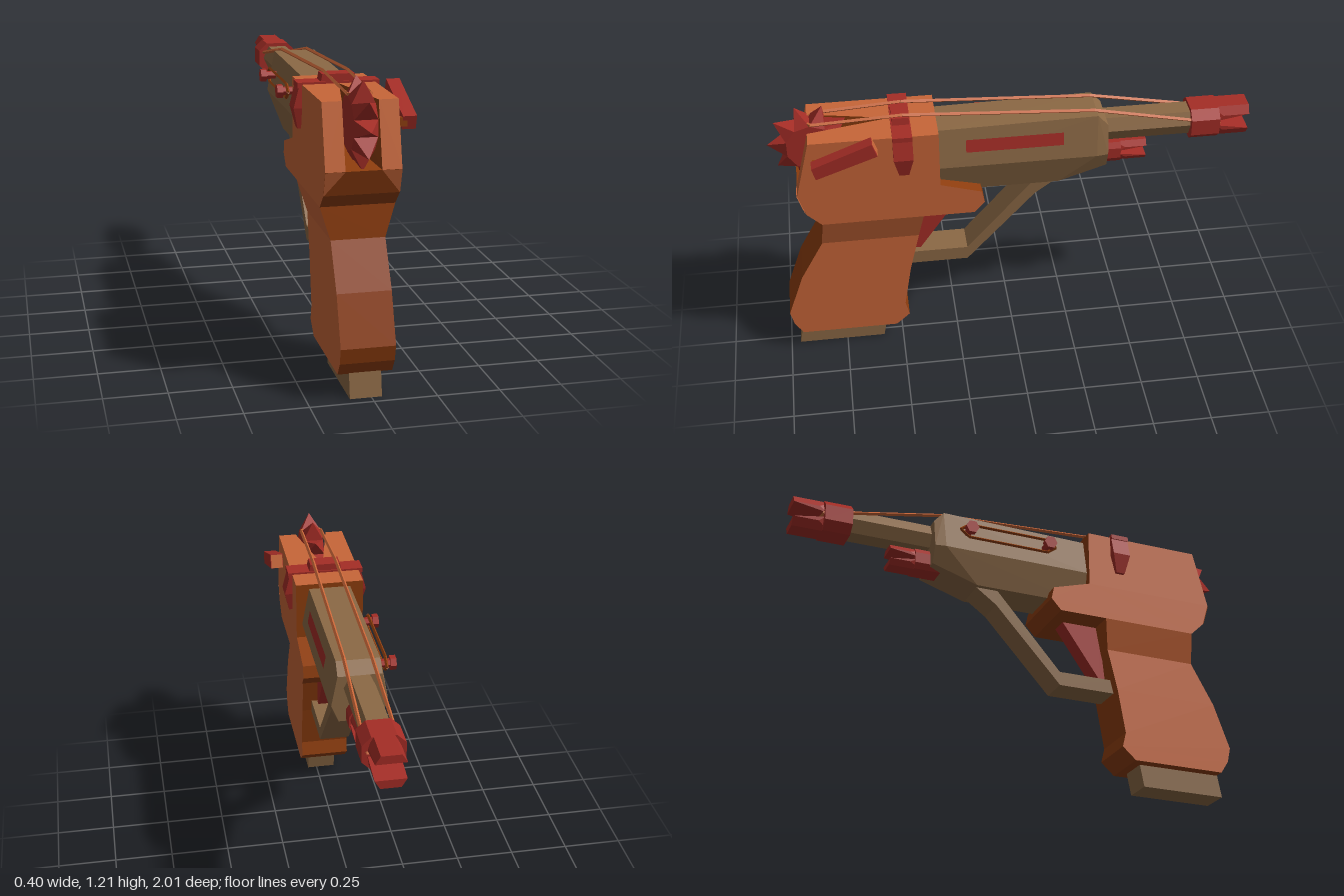
import * as THREE from 'three';
import { ConvexGeometry } from 'three/addons/geometries/ConvexGeometry.js';

export function createModel() {
  const mat = (name, color) => {
    const m = new THREE.MeshStandardMaterial({ color, side: THREE.DoubleSide });
    m.name = name;
    return m;
  };
  const orange = mat('orange', 0xc86638);
  const brown = mat('brown', 0x8f3e0e);
  const red = mat('red', 0xa52d26);
  const tan = mat('tan', 0x8c6945);

  const model = new THREE.Group();
  model.name = 'toyPistol';
  const body = new THREE.Group();
  body.name = 'body';
  body.position.x = -0.022;
  model.add(body);

  const add = (name, geo, material) => {
    const mesh = new THREE.Mesh(geo, material);
    mesh.name = name;
    body.add(mesh);
    return mesh;
  };
  // Convex solid from [halfWidth, y, z] points mirrored in x
  const hull = (name, material, pts) => add(name, new ConvexGeometry(
    pts.flatMap(([h, y, z]) => [new THREE.Vector3(h, y, z), new THREE.Vector3(-h, y, z)])), material);
  // Constant section of [halfWidth, y] points running from z0 to z1
  const prism = (name, material, sec, z0, z1) =>
    hull(name, material, sec.flatMap(([h, y]) => [[h, y, z0], [h, y, z1]]));
  // Side profile of [z, y] points with thickness across x
  const slab = (name, material, pts, half) => {
    const shape = new THREE.Shape(pts.map(([z, y]) => new THREE.Vector2(z, y)));
    const geo = new THREE.ExtrudeGeometry(shape, { depth: half * 2, bevelEnabled: false });
    return add(name, geo.rotateY(-Math.PI / 2).translate(half, 0, 0), material);
  };
  // Flat convex polygons
  const faces = (name, material, polys) => {
    const v = [];
    for (const p of polys)
      for (let i = 1; i < p.length - 1; i++) v.push(...p[0], ...p[i], ...p[i + 1]);
    const geo = new THREE.BufferGeometry();
    geo.setAttribute('position', new THREE.Float32BufferAttribute(v, 3));
    geo.computeVertexNormals();
    return add(name, geo, material);
  };
  // Thin four-sided cord through points
  const cord = (name, material, pts, r, closed = false) => {
    const n = closed ? pts.length : pts.length - 1;
    for (let i = 0; i < n; i++) {
      const a = new THREE.Vector3(...pts[i]), b = new THREE.Vector3(...pts[(i + 1) % pts.length]);
      const d = b.clone().sub(a);
      const geo = new THREE.CylinderGeometry(r, r, d.length(), 4).toNonIndexed();
      geo.computeVertexNormals();
      const m = add(name, geo, material);
      m.position.copy(a).add(b).multiplyScalar(0.5);
      m.quaternion.setFromUnitVectors(new THREE.Vector3(0, 1, 0), d.normalize());
    }
  };

  // Grip: rows of y, rear z, front z, half width
  const rows = [[0.72, 0.81, 0.388, 0.147], [0.59, 0.82, 0.41, 0.107], [0.41, 0.92, 0.452, 0.107],
    [0.214, 0.99, 0.484, 0.107], [0.15, 0.975, 0.468, 0.107], [0.096, 0.94, 0.527, 0.107]];
  const gripSides = [], gripEdges = [];
  for (let i = 0; i < rows.length - 1; i++) {
    const [y, b, f, h] = rows[i], [Y, B, F, H] = rows[i + 1];
    for (const s of [1, -1])
      gripSides.push([[s * h, y, b], [s * H, Y, B], [s * H, Y, F], [s * h, y, f]]);
    for (const [z, Z] of [[b, B], [f, F]])
      gripEdges.push([[-h, y, z], [h, y, z], [H, Y, Z], [-H, Y, Z]]);
  }
  gripEdges.push([[-0.107, 0.096, 0.94], [0.107, 0.096, 0.94], [0.107, 0.096, 0.527], [-0.107, 0.096, 0.527]]);
  faces('gripSides', orange, gripSides);
  faces('gripEdges', brown, gripEdges);
  slab('magazine', tan, [[0.94, 0.11], [0.96, 0], [0.585, 0], [0.565, 0.11]], 0.063);

  // Frame below the rear slot
  slab('frame', [orange, brown], [[0.9, 0.875], [0.87, 0.778], [0.81, 0.72], [0.174, 0.72],
    [0.13, 0.77], [0.142, 0.824], [0.313, 0.875]], 0.147);

  // Receiver with a wedge-shaped rear slot
  const H = 0.147, N = 0.07, T = 1.128, L = 0.875, F = 0.313;
  const shell = [], slot = [];
  for (const s of [1, -1]) {
    const h = s * H, n = s * N;
    shell.push(
      [[h, L, 0.9], [h, L, F], [h, T, F], [h, T, 0.837]],
      [[h, L, 0.9], [n, L, 0.9], [n, T, 0.837], [h, T, 0.837]],
      [[h, T, F], [h, T, 0.837], [n, T, 0.837], [0, T, 0.5], [0, T, F]],
      [[h, L, 0.903], [n, L, 0.903], [h, 0.778, 0.873]]);
    slot.push([[n, L, 0.9], [0, 0.93, 0.5], [0, T, 0.5], [n, T, 0.837]]);
  }
  slot.push([[-N, L, 0.9], [N, L, 0.9], [0, 0.93, 0.5]],
    [[-H, L, F], [H, L, F], [H, T, F], [-H, T, F]]);
  faces('receiver', orange, shell);
  faces('receiverSlot', brown, slot);

  // Slide housing and barrel
  hull('housing', tan, [
    [0.09, 1.107, 0.313], [0.122, 0.94, 0.313], [0.085, 0.8, 0.313],
    [0.09, 1.118, -0.35], [0.122, 0.94, -0.345], [0.085, 0.8, -0.19],
    [0.09, 1.07, -0.393], [0.115, 0.94, -0.393], [0.085, 0.866, -0.393]]);
  faces('sideStripe', red, [[[0.105, 1.06, 0.2], [0.115, 1.005, 0.2],
    [0.115, 1.005, -0.205], [0.105, 1.06, -0.205]]]);
  prism('barrel', tan, [[0.04, 1.07], [0.065, 1.017], [0.04, 0.963]], -0.38, -0.76);

  // Forked ends: a block with two prongs
  const fork = (name, y0, y1, z0, zn, z1, hb, hp) => {
    const m = (y0 + y1) / 2, q = (y1 - y0) * 0.25;
    prism(name + 'Block', red, [[hp * 0.8, y1], [hb, m + q], [hb, m - q], [hp * 0.8, y0]], z0, zn);
    for (const [e, s] of [[y1, 1], [y0, -1]])
      hull(name + 'Prong', red, [[hp * 0.65, e, zn + 0.03], [hp * 0.65, e, z1], [hp, m + s * q, z1],
        [hp, m + s * q, zn - 0.02], [hp, m + s * q * 0.3, zn + 0.01]]);
  };
  fork('muzzle', 0.945, 1.085, -0.75, -0.87, -1, 0.085, 0.061);
  fork('lowerFork', 0.85, 0.945, -0.34, -0.46, -0.57, 0.055, 0.05);

  // Trigger and guard
  slab('triggerGuard', tan, [[0.46, 0.406], [0.2, 0.406], [-0.095, 0.733], [-0.19, 0.802],
    [-0.09, 0.802], [0.2, 0.467], [0.46, 0.467]], 0.065);
  slab('trigger', red, [[0.4, 0.73], [0.222, 0.73], [0.4, 0.47], [0.425, 0.47]], 0.04);

  // Collar over the receiver
  prism('collarTop', red, [[0.165, 1.115], [0.165, 1.136]], 0.42, 0.5);
  prism('collarRidge', red, [[0.072, 1.13], [0.065, 1.165]], 0.425, 0.495);
  for (const s of [1, -1]) {
    const pts = [[1.136, 0.155, 0.42, 0.5], [1.035, 0.181, 0.42, 0.5], [0.95, 0.161, 0.44, 0.48]]
      .flatMap(([y, x, a, b]) => [[s * x, y, a], [s * x, y, b], [s * 0.14, y, a], [s * 0.14, y, b]]);
    add('collarLug', new ConvexGeometry(pts.map((p) => new THREE.Vector3(...p))), red);
  }

  // Spiked wheel in the rear slot
  const wheel = [], n = 10;
  const rim = (i, r, x) => {
    const a = (i / n) * Math.PI * 2;
    return [x, 1.04 + Math.sin(a) * r, 0.825 + Math.cos(a) * r];
  };
  for (let i = 0; i < n; i++) {
    const tip = rim(i, 0.18, 0), p = i - 0.5, q = i + 0.5, w = 0.046, r = 0.105;
    for (const s of [w, -w])
      wheel.push([tip, rim(p, r, s), rim(q, r, s)], [[s, 1.04, 0.825], rim(p, r, s), rim(q, r, s)]);
    wheel.push([tip, rim(p, r, w), rim(p, r, -w)], [tip, rim(q, r, w), rim(q, r, -w)]);
  }
  faces('spikedWheel', red, wheel);

  // Side lever on its peg
  slab('sideLever', red, [[0.83, 1.058], [0.815, 1.005], [0.565, 1.096], [0.585, 1.155]], 0.027)
    .position.x = 0.194;
  faces('leverTip', orange, [[[0.169, 1.153, 0.582], [0.219, 1.153, 0.582],
    [0.219, 1.098, 0.562], [0.169, 1.098, 0.562]]]);
  add('leverPeg', new THREE.BoxGeometry(0.06, 0.035, 0.03), brown).position.set(0.155, 1.035, 0.81);

  // Elastic band stretched from wheel to muzzle
  for (const s of [1, -1])
    cord('elasticBand', orange, [[0, 1.147, 0.87], [s * 0.045, 1.15, 0.82], [s * 0.05, 1.17, 0.45],
      [s * 0.056, 1.125, -0.34], [s * 0.066, 1.02, -0.87], [0, 1.017, -0.88]], 0.008);

  // Knobs with a small band on the right side
  for (const z of [0.12, -0.245]) {
    for (const [r, w, x] of [[0.018, 0.07, -0.13], [0.03, 0.025, -0.162]]) {
      const geo = new THREE.CylinderGeometry(r, r, w, 6).toNonIndexed().rotateZ(Math.PI / 2);
      geo.computeVertexNormals();
      add('knob', geo, red).position.set(x, 1.03, z);
    }
  }
  cord('knobBand', brown, [[-0.132, 1.06, 0.12], [-0.132, 1.03, 0.16], [-0.132, 1, 0.12],
    [-0.132, 1, -0.245], [-0.132, 1.03, -0.285], [-0.132, 1.06, -0.245]], 0.007, true);

  return model;
}
